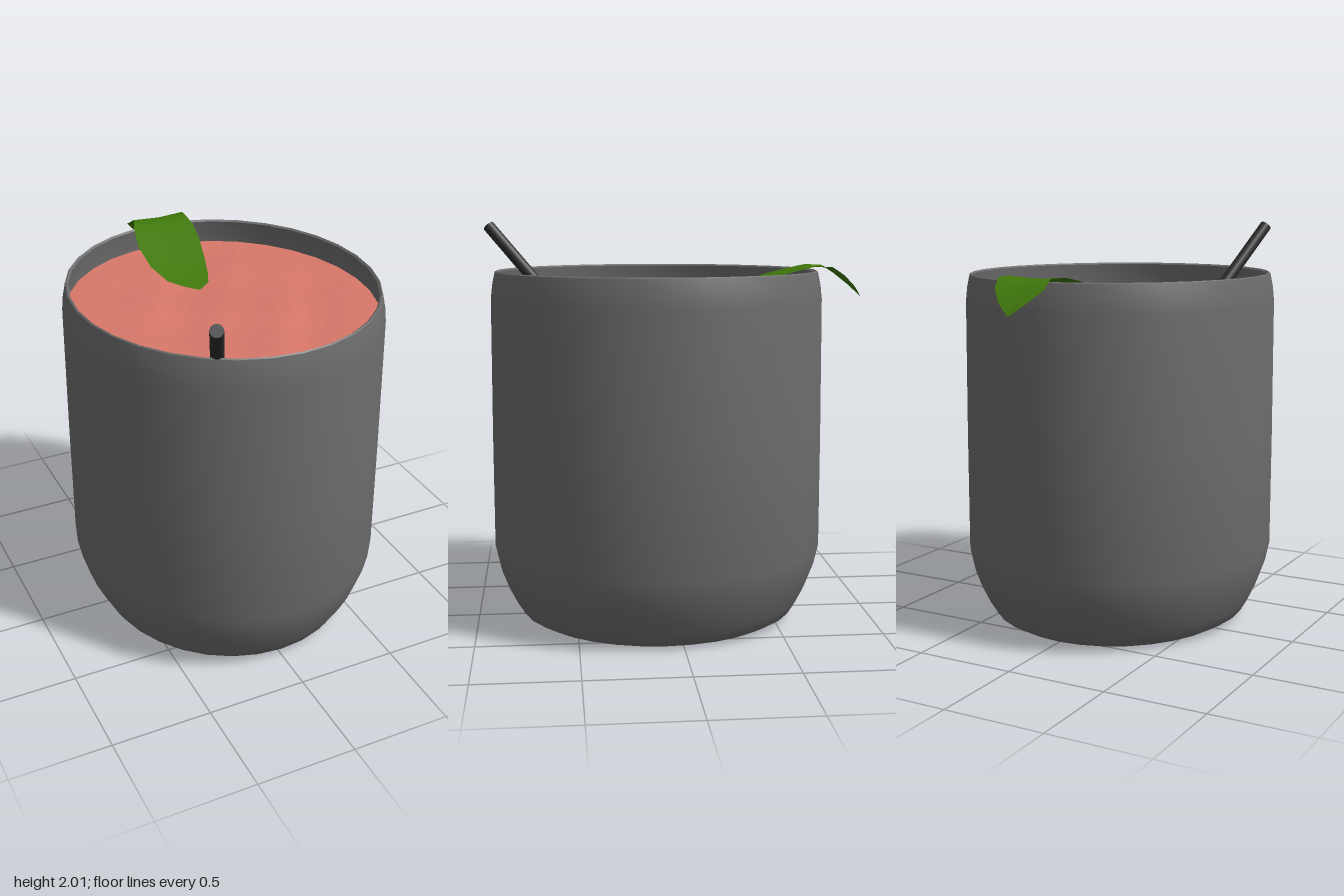
import * as THREE from 'three';
import { toCreasedNormals } from 'three/addons/utils/BufferGeometryUtils.js';

const CUP_Z = 0.078;    // centre of the slightly oval cup
const OVAL = 1.085;     // depth / width of the cup
const LIQUID_Y = 1.645;

const material = (name, color, side = THREE.FrontSide) => {
  const m = new THREE.MeshStandardMaterial({ color, side });
  m.name = name;
  return m;
};

const part = (name, geometry, mat) => {
  const mesh = new THREE.Mesh(geometry, mat);
  mesh.name = name;
  return mesh;
};

// Thin-walled tumbler: outside from base to rim, then down the inside
function cupGeometry() {
  const profile = [
    [0, 0], [0.58, 0], [0.64, 0.035], [0.675, 0.095], [0.715, 0.18], [0.747, 0.27],
    [0.768, 0.37], [0.768, 0.95], [0.764, 1.63], [0.757, 1.7], [0.744, 1.765],
    [0.738, 1.77], [0.728, 1.762], [0.74, 1.69], [0.745, 1.62], [0.745, 0.4],
    [0.62, 0.07], [0, 0.05],
  ].map(([r, y]) => new THREE.Vector2(r, y));
  const g = new THREE.LatheGeometry(profile, 32);
  g.scale(1, 1, OVAL);
  g.translate(0, 0, CUP_Z);
  return toCreasedNormals(g, 0.6);
}

// Gently rippled, faceted drink surface
function drinkGeometry() {
  const g = new THREE.RingGeometry(0.0001, 0.745, 32, 9);
  g.rotateX(-Math.PI / 2);
  const p = g.attributes.position;
  for (let i = 0; i < p.count; i++) {
    const x = p.getX(i), z = p.getZ(i);
    const fade = 1 - Math.pow(Math.hypot(x, z) / 0.745, 4);
    const ripple = Math.sin(9 * x + 4 * z) + Math.sin(13 * z - 6 * x + 1) + Math.sin(17 * x + 11 * z + 2);
    p.setXYZ(i, x, LIQUID_Y + 0.004 * fade * ripple, z * OVAL + CUP_Z);
  }
  const flat = g.toNonIndexed();
  flat.computeVertexNormals();
  return flat;
}

// Leaf: cross-sections [z, left x, right x, height], from the drink over the rim
function leafGeometry() {
  const sections = [
    [-0.10, -0.045, -0.035, 1.66], [-0.15, -0.10, 0.03, 1.662], [-0.23, -0.155, 0.065, 1.666],
    [-0.37, -0.185, 0.11, 1.69], [-0.52, -0.187, 0.148, 1.735], [-0.62, -0.165, 0.163, 1.762],
    [-0.70, -0.14, 0.163, 1.781], [-0.78, -0.108, 0.17, 1.781], [-0.85, -0.12, 0.145, 1.738],
    [-0.92, -0.065, 0.08, 1.68], [-0.965, -0.005, 0.005, 1.632],
  ];
  const COLS = 4;
  const pos = [], index = [];
  sections.forEach(([z, left, right, y], i) => {
    for (let j = 0; j <= COLS; j++) {
      const t = j / COLS;
      // a shallow fold along the midrib
      const lift = (Math.abs(t - 0.5) * 2) * (right - left) * 0.03;
      pos.push(left + (right - left) * t, y + lift, z);
      if (i < sections.length - 1 && j < COLS) {
        const a = i * (COLS + 1) + j, b = a + COLS + 1;
        index.push(a, a + 1, b, a + 1, b + 1, b);
      }
    }
  });
  const g = new THREE.BufferGeometry();
  g.setAttribute('position', new THREE.Float32BufferAttribute(pos, 3));
  g.setIndex(index);
  g.computeVertexNormals();
  return g;
}

// Straw: a capped rod leaning over the rim
function straw(mat) {
  const top = new THREE.Vector3(-0.435, 1.985, 0.93);
  const end = new THREE.Vector3(-0.275, 1.6, 0.6);
  const axis = top.clone().sub(end);
  const mesh = part('straw', new THREE.CylinderGeometry(0.031, 0.031, axis.length(), 12), mat);
  mesh.position.copy(top).add(end).multiplyScalar(0.5);
  mesh.quaternion.setFromUnitVectors(new THREE.Vector3(0, 1, 0), axis.normalize());
  return mesh;
}

export function createModel() {
  const grey = material('cup grey', 0x6c6c6c);
  const salmon = material('drink salmon', 0xd8786a);
  salmon.flatShading = true;
  const green = material('leaf green', 0x417a0c, THREE.DoubleSide);
  const black = material('straw black', 0x2c2c2c);

  const model = new THREE.Group();
  model.name = 'drinkWithLeaf';
  model.add(
    part('cup', cupGeometry(), grey),
    part('drink', drinkGeometry(), salmon),
    part('leaf', leafGeometry(), green),
    straw(black),
  );
  return model;
}
